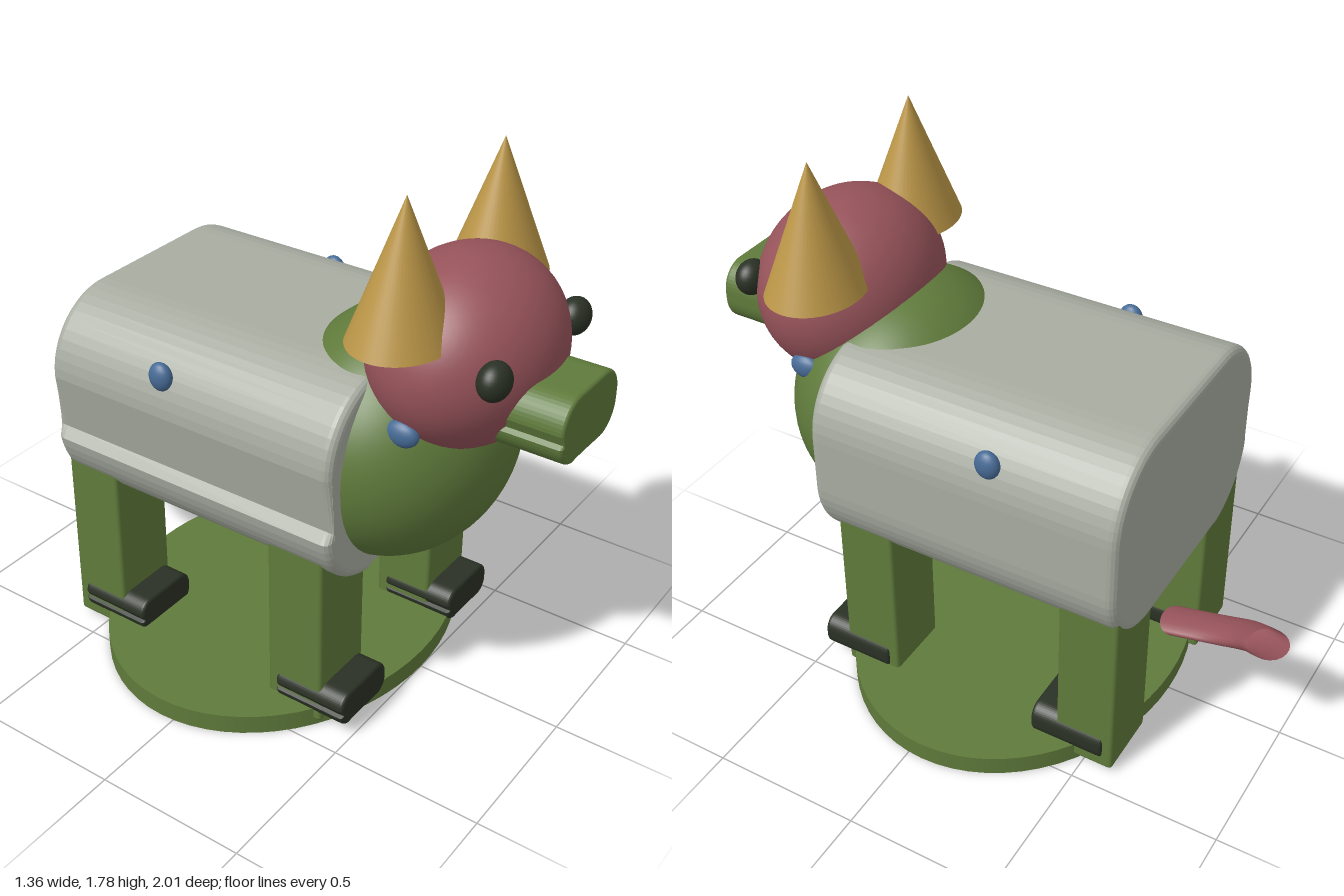
import * as THREE from 'three';
import { RoundedBoxGeometry } from 'three/addons/geometries/RoundedBoxGeometry.js';

const material = (name, color) => {
  const m = new THREE.MeshStandardMaterial({ color });
  m.name = name;
  return m;
};

// Bevelled prism along z with rounded corners. The bevel is pinched to nothing
// at both ends of the lower right corner, which leaves small creases there.
function roundedPrism(width, height, depth, radius, bevel) {
  const outline = [];
  const cx = width / 2 - bevel - radius, cy = height / 2 - bevel - radius;
  const steps = 12;
  [[1, 1], [-1, 1], [-1, -1], [1, -1]].forEach(([sx, sy], corner) => {
    for (let i = 0; i <= steps; i++) {
      const a = (corner + i / steps) * Math.PI / 2;
      const pinched = corner === 2 && (i === 0 || i === steps);
      outline.push({ x: sx * cx, y: sy * cy, c: Math.cos(a), s: Math.sin(a), b: pinched ? 0 : 1 });
    }
  });

  // Rings: bevel out at the back, bevel in at the front
  const rings = [];
  const bevelSteps = 4;
  for (let i = 0; i <= bevelSteps; i++) {
    const t = i / bevelSteps * Math.PI / 2;
    rings.push([-depth / 2 + bevel * (1 - Math.cos(t)), bevel * Math.sin(t)]);
  }
  for (let i = bevelSteps; i >= 0; i--) rings.push([-rings[i][0], rings[i][1]]);

  const positions = [], index = [], n = outline.length;
  for (const [z, grow] of rings) {
    for (const p of outline) {
      const r = radius + grow * p.b;
      positions.push(p.x + r * p.c, p.y + r * p.s, z);
    }
  }
  const back = rings.length * n, front = back + 1, last = (rings.length - 1) * n;
  positions.push(0, 0, -depth / 2, 0, 0, depth / 2);
  for (let i = 0; i < n; i++) {
    const j = (i + 1) % n;
    for (let k = 0; k < rings.length - 1; k++) {
      const a = k * n + i, b = k * n + j;
      index.push(a, b, b + n, a, b + n, a + n);
    }
    index.push(back, j, i, front, last + i, last + j);
  }
  const indexed = new THREE.BufferGeometry();
  indexed.setAttribute('position', new THREE.Float32BufferAttribute(positions, 3));
  indexed.setIndex(index);
  const geometry = indexed.toNonIndexed();
  geometry.computeVertexNormals();
  return geometry;
}

export function createModel() {
  const model = new THREE.Group();
  model.name = 'hornedAnimal';

  const green = material('green', 0x5f7a3b);
  const grey = material('grey', 0xa8aca1);
  const red = material('red', 0x96535a);
  const gold = material('gold', 0xbb9647);
  const dark = material('dark', 0x2a3125);
  const blue = material('blue', 0x476b96);
  const tailRed = material('tailRed', 0x96535a);
  tailRed.side = THREE.DoubleSide;

  const add = (name, geometry, mat, x, y, z) => {
    const mesh = new THREE.Mesh(geometry, mat);
    mesh.name = name;
    mesh.position.set(x, y, z);
    model.add(mesh);
    return mesh;
  };
  const ball = (name, mat, [x, y, z], [rx, ry, rz], detail = 24) =>
    add(name, new THREE.SphereGeometry(1, detail * 2, detail), mat, x, y, z).scale.set(rx, ry, rz);

  // Oval base
  add('base', new THREE.CylinderGeometry(1, 1, 0.065, 64), green, 0, 0.0325, -0.05).scale.set(0.68, 1, 0.55);

  // Body, chest, head and snout
  add('body', roundedPrism(0.96, 0.69, 1.06, 0.22, 0.03), grey, 0, 0.865, -0.08);
  ball('chest', green, [0, 0.9, 0.387], [0.43, 0.4, 0.358], 32);
  ball('head', red, [0, 1.245, 0.6], [0.345, 0.295, 0.28], 32);
  add('snout', roundedPrism(0.34, 0.215, 0.3, 0.08, 0.012), green, 0, 1.138, 0.85);

  // Mirrored parts
  const legGeometry = new RoundedBoxGeometry(0.235, 0.64, 0.2, 2, 0.012);
  const hoofGeometry = roundedPrism(0.25, 0.12, 0.255, 0.038, 0.012);
  const hornGeometry = new THREE.ConeGeometry(1, 0.42, 48);
  for (const side of [1, -1]) {
    const prefix = side > 0 ? 'left' : 'right';
    add(prefix + 'Horn', hornGeometry, gold, side * 0.264, 1.57, 0.537).scale.set(0.18, 1, 0.15);
    ball(prefix + 'Eye', dark, [side * 0.235, 1.3, 0.815], [0.06, 0.058, 0.048], 16);
    ball(prefix + 'BodySpot', blue, [side * 0.455, 1.088, -0.175], [0.028, 0.047, 0.041], 12);
    ball(prefix + 'ChestSpot', blue, [side * 0.305, 1.085, 0.575], [0.03, 0.042, 0.055], 12);
    for (const [end, z] of [['Front', 0.297], ['Rear', -0.505]]) {
      add(prefix + end + 'Leg', legGeometry, green, side * 0.318, 0.34, z);
      add(prefix + end + 'Hoof', hoofGeometry, dark, side * 0.32, 0.1, z + 0.061);
    }
  }

  // Flattened curling tail
  const tailPath = new THREE.CatmullRomCurve3([
    new THREE.Vector3(0, 1.03, -0.6),
    new THREE.Vector3(0, 1.15, -0.76),
    new THREE.Vector3(0.025, 1.31, -0.87),
    new THREE.Vector3(0.078, 1.47, -0.95),
  ]);
  add('tail', new THREE.TubeGeometry(tailPath, 24, 0.068, 20), tailRed, 0, 0, 0).scale.y = 0.3;

  return model;
}
